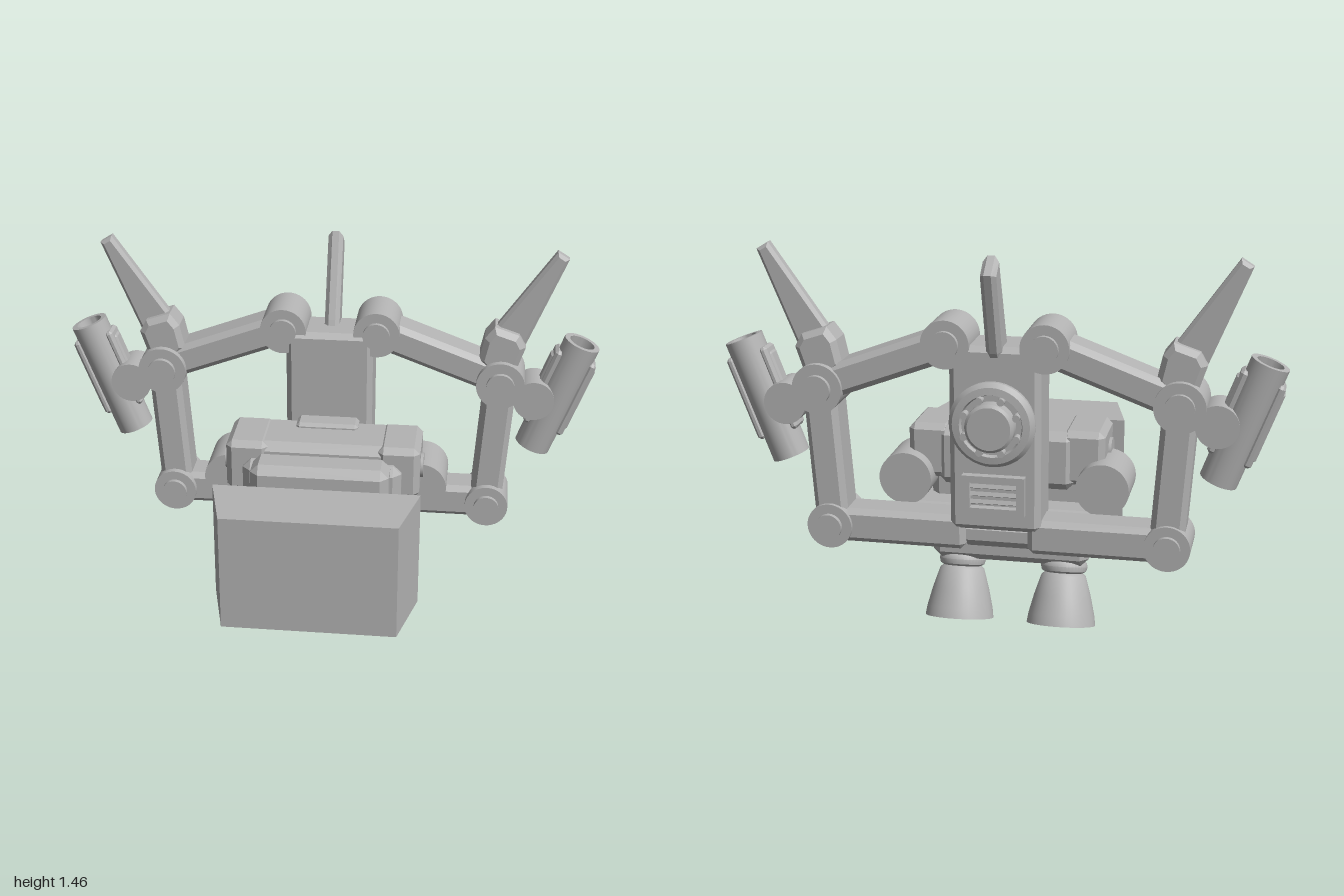
import * as THREE from 'three';
import { toCreasedNormals } from 'three/addons/utils/BufferGeometryUtils.js';
import { ConvexGeometry } from 'three/addons/geometries/ConvexGeometry.js';

const grey = new THREE.MeshStandardMaterial({ color: 0xb3b3b3 });
grey.name = 'plain grey';

export function createModel() {
  const model = new THREE.Group();
  const V = (x, y, z) => new THREE.Vector3(x, y, z);

  const add = (name, geometry, x = 0, y = 0, z = 0, parent = model) => {
    const mesh = new THREE.Mesh(geometry, grey);
    mesh.name = name;
    mesh.position.set(x, y, z);
    parent.add(mesh);
    return mesh;
  };

  // Box with every edge chamfered by b
  const bevelBox = (w, h, d, b = 0.015) => {
    const pts = [], [X, Y, Z] = [w / 2, h / 2, d / 2];
    for (const i of [-1, 1]) for (const j of [-1, 1]) for (const k of [-1, 1]) {
      pts.push(V(i * X, j * (Y - b), k * (Z - b)));
      pts.push(V(i * (X - b), j * Y, k * (Z - b)));
      pts.push(V(i * (X - b), j * (Y - b), k * Z));
    }
    return new ConvexGeometry(pts);
  };
  // Bevelled box spanning given ranges
  const block = (name, x0, x1, y0, y1, z0, z1, b) =>
    add(name, bevelBox(x1 - x0, y1 - y0, z1 - z0, b), (x0 + x1) / 2, (y0 + y1) / 2, (z0 + z1) / 2);

  const discZ = (r, len) => new THREE.CylinderGeometry(r, r, len, 40).rotateX(Math.PI / 2);
  const lathe = pts => toCreasedNormals(
    new THREE.LatheGeometry(pts.map(p => new THREE.Vector2(p[0], p[1])), 40), 0.6);

  // Flat polygon extruded around a middle depth, with chamfered rims
  const plate = (pts, depth, b) => new THREE.ExtrudeGeometry(
    new THREE.Shape(pts.map(p => new THREE.Vector2(p[0], p[1]))),
    { depth: depth - 2 * b, bevelEnabled: true, bevelThickness: b, bevelSize: b, bevelOffset: -b, bevelSegments: 1 }
  ).translate(0, 0, -depth / 2 + b);

  const armZ = -0.285;

  // Floating front block, wider at the rear
  add('frontBlock', new ConvexGeometry([0.31, 0.745].flatMap(y => [
    V(-0.37, y, 0.24), V(0.37, y, 0.24), V(-0.31, y, 0.485), V(0.31, y, 0.485)])));

  // Body
  block('body', -0.29, 0.29, 0.28, 0.76, -0.12, 0.09, 0.03);
  block('chestPlate', -0.25, 0.25, 0.27, 0.785, 0.03, 0.175, 0.03);
  block('upperBody', -0.25, 0.25, 0.6, 0.815, -0.2, 0.04, 0.03);
  block('collar', -0.115, 0.115, 0.78, 0.832, -0.2, -0.11, 0.012);
  block('armMount', -0.34, 0.34, 0.43, 0.537, -0.22, -0.015, 0.012);

  // Rear column
  block('column', -0.16, 0.16, 0.5, 1.16, -0.375, -0.185, 0.02);
  block('columnFoot', -0.14, 0.14, 0.42, 0.52, -0.34, -0.1, 0.03);

  // Centre fin, sweeping backwards
  const fin = add('centreFin', plate(
    [[0.25, 1.1], [0.28, 1.18], [0.41, 1.48], [0.48, 1.425], [0.385, 1.14], [0.36, 1.1]], 0.055, 0.015));
  fin.rotation.y = Math.PI / 2;

  // Round rear hatch with hub and bolts
  const hatch = new THREE.Group();
  hatch.name = 'rearHatch';
  hatch.position.set(0, 0.9, -0.37);
  hatch.rotation.x = -Math.PI / 2;
  model.add(hatch);
  add('hatchRing', lathe([[0.1, 0], [0.13, 0.015], [0.148, 0.025], [0.15, 0.045],
    [0.135, 0.062], [0.11, 0.065], [0.105, 0.05], [0, 0.05]]), 0, 0, 0, hatch);
  add('hatchHub', lathe([[0.085, 0.04], [0.085, 0.092], [0.075, 0.1], [0, 0.1]]), 0, 0, 0, hatch);
  for (let i = 0; i < 8; i++) {
    const a = (i + 0.5) * Math.PI / 4;
    add('hatchBolt', new THREE.CylinderGeometry(0.013, 0.013, 0.035, 12),
      0.098 * Math.cos(a), 0.065, 0.098 * Math.sin(a), hatch);
  }

  // Rear vent: open frame over slats
  const frame = [[-0.11, -0.07], [0.11, -0.07], [0.11, 0.07], [-0.11, 0.07]];
  const ventShape = new THREE.Shape(frame.map(p => new THREE.Vector2(p[0], p[1])));
  ventShape.holes.push(new THREE.Path(frame.map(p => new THREE.Vector2(p[0] * 0.75, p[1] * 0.65)).reverse()));
  add('ventFrame', new THREE.ExtrudeGeometry(ventShape, { depth: 0.035, bevelEnabled: false }), 0, 0.64, -0.405);
  for (let i = -1; i <= 1; i++) {
    const slat = add('ventSlat', new THREE.BoxGeometry(0.165, 0.015, 0.022), 0, 0.64 + i * 0.028, -0.385);
    slat.rotation.x = 0.4;
  }

  // Pivot drum with smaller end caps
  const joint = (name, x, y, r) => {
    add(name, discZ(r, 0.18), x, y, armZ);
    add(name + 'Cap', discZ(r * 0.58, 0.215), x, y, armZ);
  };
  // Arm bar between two points
  const bar = (name, x0, y0, x1, y1, w) => {
    const m = add(name, bevelBox(Math.hypot(x1 - x0, y1 - y0), w, 0.14, 0.02),
      (x0 + x1) / 2, (y0 + y1) / 2, armZ - 0.005);
    m.rotation.z = Math.atan2(y1 - y0, x1 - x0);
  };

  for (const s of [1, -1]) {
    const flip = pts => pts.map(([x, y]) => [x * s, y]);

    // Shoulder pads and side tanks
    add('shoulderPad', bevelBox(0.155, 0.2, 0.235, 0.022), s * 0.277, 0.72, -0.07);
    add('padKnob', new THREE.CylinderGeometry(0.045, 0.045, 0.03, 24).rotateZ(Math.PI / 2), s * 0.35, 0.72, -0.045);
    add('sideTank', discZ(0.095, 0.2), s * 0.355, 0.628, -0.14);

    // Jointed arm
    joint('shoulderJoint', s * 0.172, 1.16, 0.085);
    joint('elbowJoint', s * 0.63, 0.98, 0.089);
    joint('lowerJoint', s * 0.6, 0.478, 0.081);
    bar('upperArm', s * 0.172, 1.155, s * 0.63, 0.985, 0.115);
    bar('foreArm', s * 0.63, 0.98, s * 0.595, 0.478, 0.12);
    bar('lowerArm', s * 0.11, 0.478, s * 0.6, 0.478, 0.125);

    // Elbow blade with its socket
    add('bladeSocket', plate(flip([[0.6, 1.0], [0.685, 1.03], [0.715, 1.12], [0.69, 1.165],
      [0.6, 1.195], [0.565, 1.15], [0.545, 1.06]]), 0.13, 0.02), 0, 0, armZ);
    add('elbowBlade', plate(flip([[0.69, 1.06], [0.852, 1.452], [0.81, 1.478],
      [0.565, 1.13], [0.6, 1.03]]), 0.05, 0.012), 0, 0, armZ);

    // Tube with its swivel and side rails
    add('tubeSwivel', discZ(0.075, 0.14), s * 0.755, 0.917, armZ);
    const tube = new THREE.Group();
    tube.name = 'tubeAssembly';
    tube.position.set(s * 0.84, 0.92, armZ);
    tube.rotation.z = -s * 0.36;
    model.add(tube);
    add('tube', lathe([[0, -0.225], [0.067, -0.225], [0.068, 0.225], [0.048, 0.225],
      [0.046, 0.08], [0, 0.08]]), 0, 0, 0, tube);
    for (const k of [1, -1]) {
      add('tubeRail', bevelBox(0.03, 0.31, 0.09, 0.01), k * 0.065, 0.02, 0, tube);
      add('tubeRailRidge', bevelBox(0.02, 0.26, 0.055, 0.007), k * 0.077, 0.02, 0, tube);
    }

    // Tilted thruster with a hollow bell
    const thruster = add('thruster', lathe([[0, -0.24], [0.06, -0.24], [0.085, -0.3], [0.115, -0.395],
      [0.127, -0.395], [0.122, -0.36], [0.105, -0.29], [0.082, -0.215], [0.07, -0.205],
      [0.082, -0.198], [0.087, -0.18], [0.082, -0.165], [0.074, -0.158], [0.084, -0.15],
      [0.088, -0.135], [0.098, -0.12], [0.1, 0], [0, 0]]), s * 0.192, 0.43, 0.014);
    thruster.rotation.x = 0.31;
  }
  return model;
}
